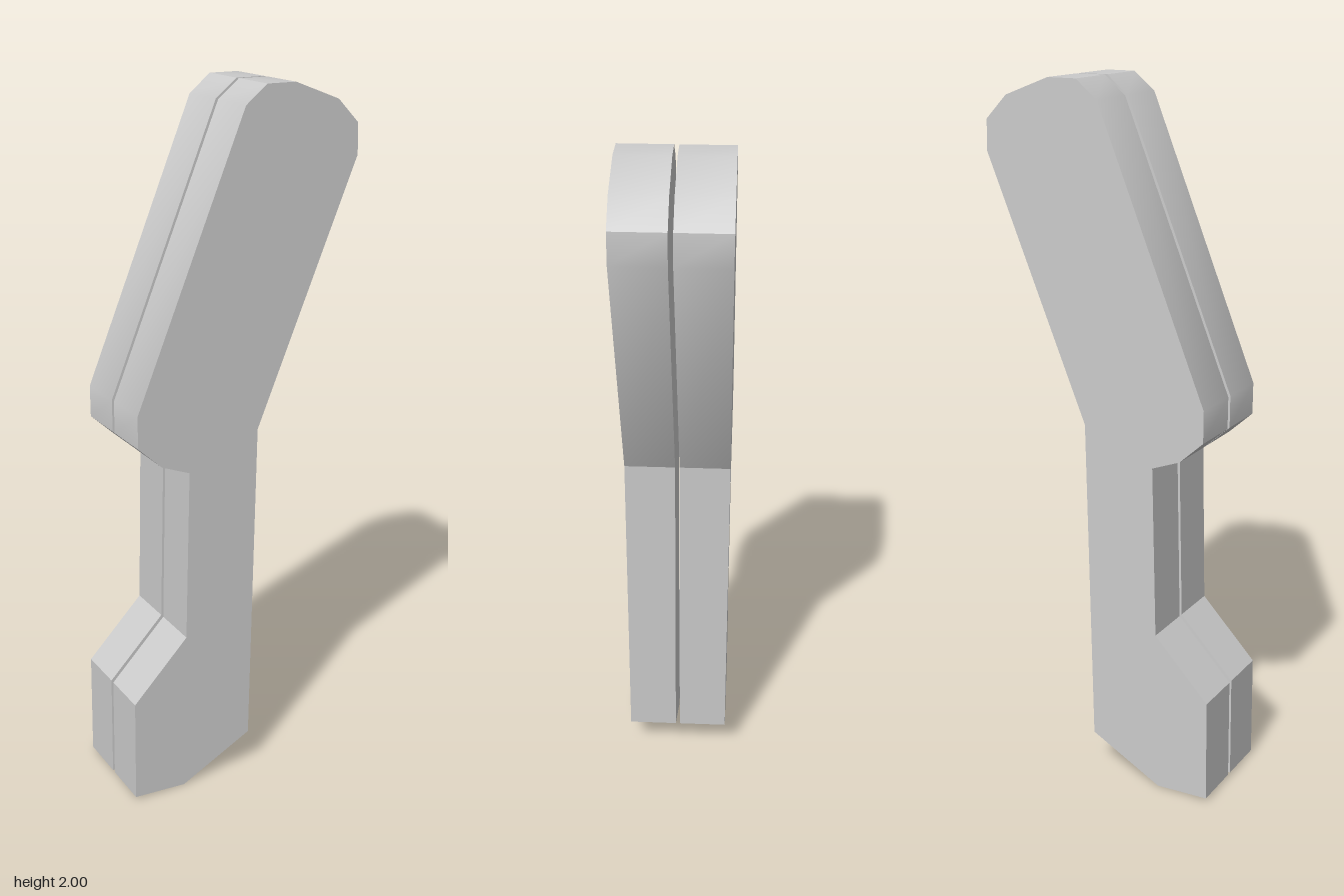
import * as THREE from 'three';
import { toCreasedNormals } from 'three/addons/utils/BufferGeometryUtils.js';

const THICKNESS = 0.142;
const material = new THREE.MeshStandardMaterial({ color: 0xcccccc });

// Rounded lower end of the upper section, shared as the seam with the lower section
const seam = [[-0.167, 0.987], [-0.08, 0.985], [0, 1.005], [0.047, 1.075]];

// Wide slanted section with chamfered ends
const upperOutline = [
  ...seam,
  [0.349, 1.80], [0.347, 1.885], [0.283, 1.95], [0.15, 2], [0.064, 2],
  [0.002, 1.95], [-0.32, 1.175], [-0.32, 1.085], [-0.25, 1.02],
];

// Narrow section ending in a foot that juts to one side
const lowerOutline = [
  [-0.351, 0.01], [-0.193, 0], [0.025, 0.113],
  ...[...seam].reverse(),
  [-0.181, 0.487], [-0.347, 0.316],
];

function slab(name, outline) {
  const shape = new THREE.Shape(outline.map(([x, y]) => new THREE.Vector2(x, y)));
  const extruded = new THREE.ExtrudeGeometry(shape, { depth: THICKNESS, bevelEnabled: false });
  extruded.translate(0, 0, -THICKNESS / 2);
  const mesh = new THREE.Mesh(toCreasedNormals(extruded, 0.5), material);
  mesh.name = name;
  return mesh;
}

export function createModel() {
  const model = new THREE.Group();
  model.name = 'pairedBentPlates';

  // Two matching plates side by side with a thin gap
  for (const [name, z] of [['frontPlate', 0.077], ['backPlate', -0.0775]]) {
    const plate = new THREE.Group();
    plate.name = name;
    plate.add(slab('upperSection', upperOutline), slab('lowerSection', lowerOutline));
    plate.position.z = z;
    model.add(plate);
  }

  // The pair is turned slightly about the vertical
  model.rotation.y = -0.0217;
  return model;
}
